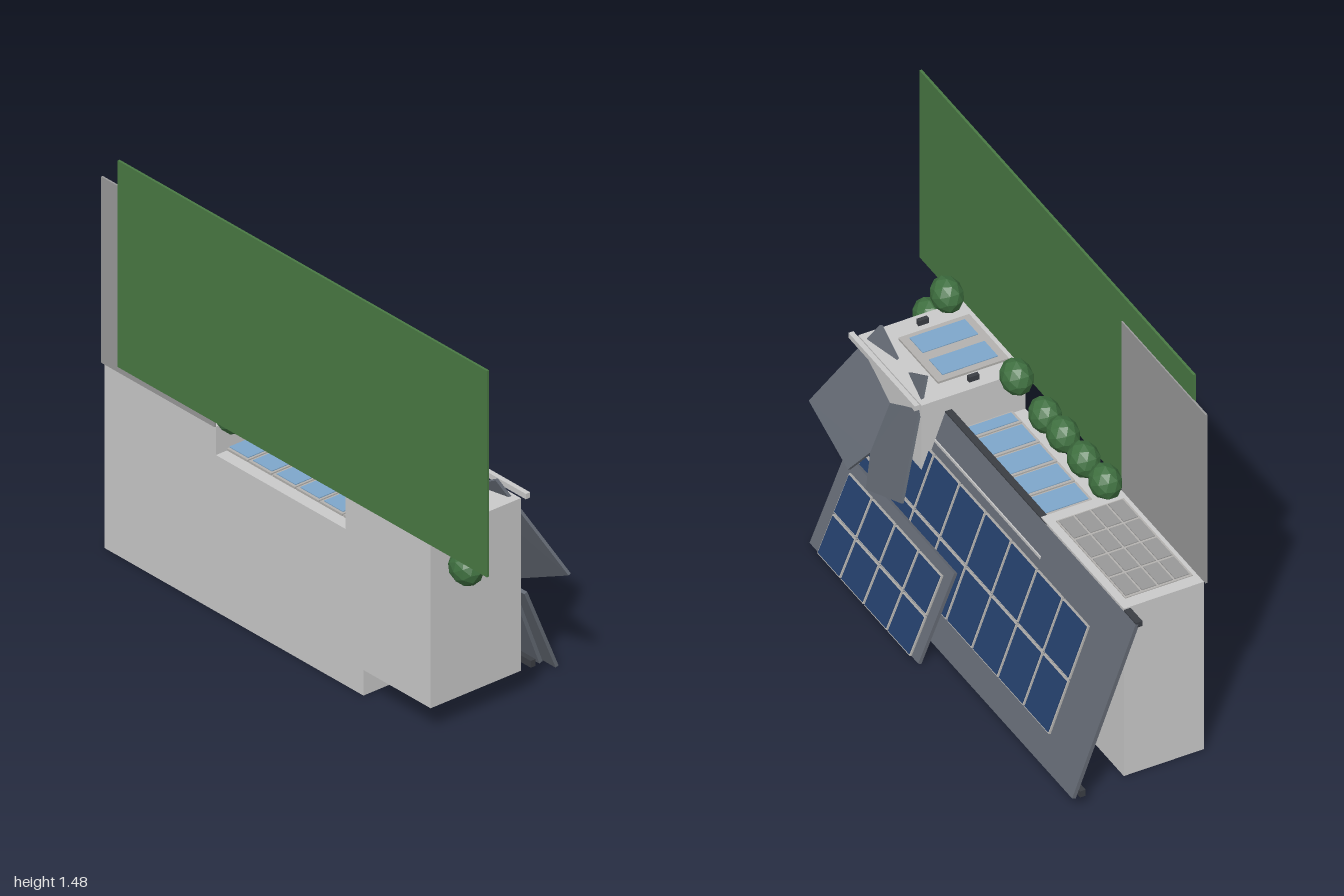
import * as THREE from 'three';
import { ConvexGeometry } from 'three/addons/geometries/ConvexGeometry.js';

// The house lies on its back: its roof points to -z, its facade to +y.
const mat = (color) => new THREE.MeshStandardMaterial({ color, flatShading: true });
const WALL = mat(0xcccccc), ROOF = mat(0x646a74), DARK = mat(0x3b3e44), GLASS = mat(0x7fa8cc);
const SOLAR = mat(0x243f6b), FRAME = mat(0xb5b3b0), GRASS = mat(0x4a7a44), BUSH = mat(0x3f7040);
const PAVING = mat(0x9a9a9a);

function box(parent, name, material, [x0, x1], [y0, y1], [z0, z1]) {
  const m = new THREE.Mesh(new THREE.BoxGeometry(x1 - x0, y1 - y0, z1 - z0), material);
  m.position.set((x0 + x1) / 2, (y0 + y1) / 2, (z0 + z1) / 2);
  m.name = name;
  parent.add(m);
  return m;
}

// Sloping roof slab from its eave to its ridge, both given as [y, z] of the top surface.
// Inside the group, +y is the roof normal and +z runs down to the eave.
function roofSlab(parent, name, [x0, x1], eave, ridge, thickness) {
  const g = new THREE.Group();
  g.name = name;
  const dy = eave[0] - ridge[0], dz = eave[1] - ridge[1], half = Math.hypot(dy, dz) / 2;
  g.position.set(0, (eave[0] + ridge[0]) / 2, (eave[1] + ridge[1]) / 2);
  g.rotation.x = Math.atan2(-dy, dz);
  box(g, name + 'Slab', ROOF, [x0, x1], [-thickness, 0], [-half, half]);
  parent.add(g);
  return { g, half };
}

// Grid of framed solar panels on a roof group
function solarPanels(g, x0, pitch, columns, z0, rowPitch, rows) {
  for (let i = 0; i < columns; i++) for (let j = 0; j < rows; j++) {
    const x = x0 + i * pitch, z = z0 + j * rowPitch;
    box(g, 'panelFrame', FRAME, [x, x + pitch - 0.006], [0, 0.007], [z, z + rowPitch - 0.006]);
    box(g, 'solarPanel', SOLAR, [x + 0.005, x + pitch - 0.011], [0.005, 0.01], [z + 0.005, z + rowPitch - 0.011]);
  }
}

export function createModel() {
  const house = new THREE.Group();
  house.name = 'house';

  // Ground
  box(house, 'lawn', GRASS, [-0.84, 1], [0.71, 1.475], [0.301, 0.31]);
  box(house, 'driveway', PAVING, [-0.93, -0.365], [0.685, 1.375], [0.296, 0.303]);

  // Walls
  box(house, 'garageWalls', WALL, [-0.92, -0.365], [0, 0.685], [0, 0.297]);
  box(house, 'mainWalls', WALL, [-0.43, 0.37], [0, 0.58], [-0.04, 0.297]);
  box(house, 'entryWalls', WALL, [0.28, 0.705], [0.095, 0.735], [-0.087, 0.297]);

  // Main roof with solar panels and gutters
  const main = roofSlab(house, 'mainRoof', [-1, 0.64], [0.675, 0], [0.05, -0.235], 0.014);
  solarPanels(main.g, -0.785, 0.173, 8, -main.half + 0.11, 0.21, 2);
  box(house, 'frontGutter', DARK, [-1, 0.28], [0.66, 0.68], [0, 0.025]);
  box(house, 'backGutter', DARK, [-1, 0.64], [0.043, 0.068], [-0.205, -0.185]);

  // Raised back roof
  const upper = roofSlab(house, 'upperRoof', [-0.09, 0.64], [0.33, -0.17], [0.01, -0.303], 0.013);
  solarPanels(upper.g, -0.045, 0.157, 4, -upper.half, 0.157, 2);

  // Two mirrored wings of the entry roof, meeting in a valley; offsets are from the centre line
  const wing = [[0.154, 0.8, -0.04], [0.31, 0.45, -0.217], [0.06, 0.335, -0.21], [0, 0.427, -0.16], [0, 0.715, -0.04]];
  for (const s of [-1, 1]) {
    const pts = [];
    for (const [x, y, z] of wing) for (const t of [0, 0.01])
      pts.push(new THREE.Vector3(0.492 + s * x, y - t * 0.4, z + t));
    const m = new THREE.Mesh(new ConvexGeometry(pts), ROOF);
    m.name = s > 0 ? 'leftEntryRoofWing' : 'rightEntryRoofWing';
    house.add(m);
  }
  box(house, 'entryFascia', WALL, [0.27, 0.715], [0.73, 0.75], [-0.118, -0.1]);

  // Garage door
  box(house, 'garageDoor', FRAME, [-0.875, -0.41], [0.68, 0.688], [0.03, 0.28]);
  for (let i = 0; i < 4; i++) for (let j = 0; j < 4; j++) {
    const x = -0.87 + i * 0.115, z = 0.036 + j * 0.061;
    box(house, 'garageDoorPanel', PAVING, [x + 0.004, x + 0.108], [0.685, 0.691], [z, z + 0.053]);
  }

  // Living room windows
  for (let i = 0; i < 6; i++) {
    const x = -0.375 + i * 0.118, right = Math.min(x + 0.112, 0.28);
    box(house, 'windowFrame', FRAME, [x, right], [0.575, 0.588], [0.025, 0.25]);
    box(house, 'windowPane', GLASS, [x + 0.01, right - 0.008], [0.58, 0.591], [0.035, 0.24]);
  }

  // Entry doors and wall lamps
  box(house, 'entryDoorFrame', FRAME, [0.355, 0.622], [0.73, 0.743], [0.015, 0.277]);
  for (const x of [0.38, 0.512])
    box(house, 'entryDoorGlass', GLASS, [x, x + 0.09], [0.735, 0.746], [0.045, 0.25]);
  for (const x of [0.32, 0.66])
    box(house, 'wallLamp', DARK, [x - 0.008, x + 0.008], [0.735, 0.755], [0.107, 0.145]);

  // Bushes along the facade
  const bushes = [[-0.34, 0.72, 0.25], [-0.215, 0.73, 0.24], [-0.09, 0.75, 0.232], [0.045, 0.735, 0.24],
    [0.21, 0.785, 0.225], [0.7, 0.785, 0.237], [0.8, 0.633, 0.227]];
  const bushGeometry = new THREE.IcosahedronGeometry(1, 1);
  for (const [x, y, z] of bushes) {
    const b = new THREE.Mesh(bushGeometry, BUSH);
    b.position.set(x, y, z);
    b.scale.set(0.067, 0.063, 0.054);
    b.name = 'bush';
    house.add(b);
  }
  return house;
}
